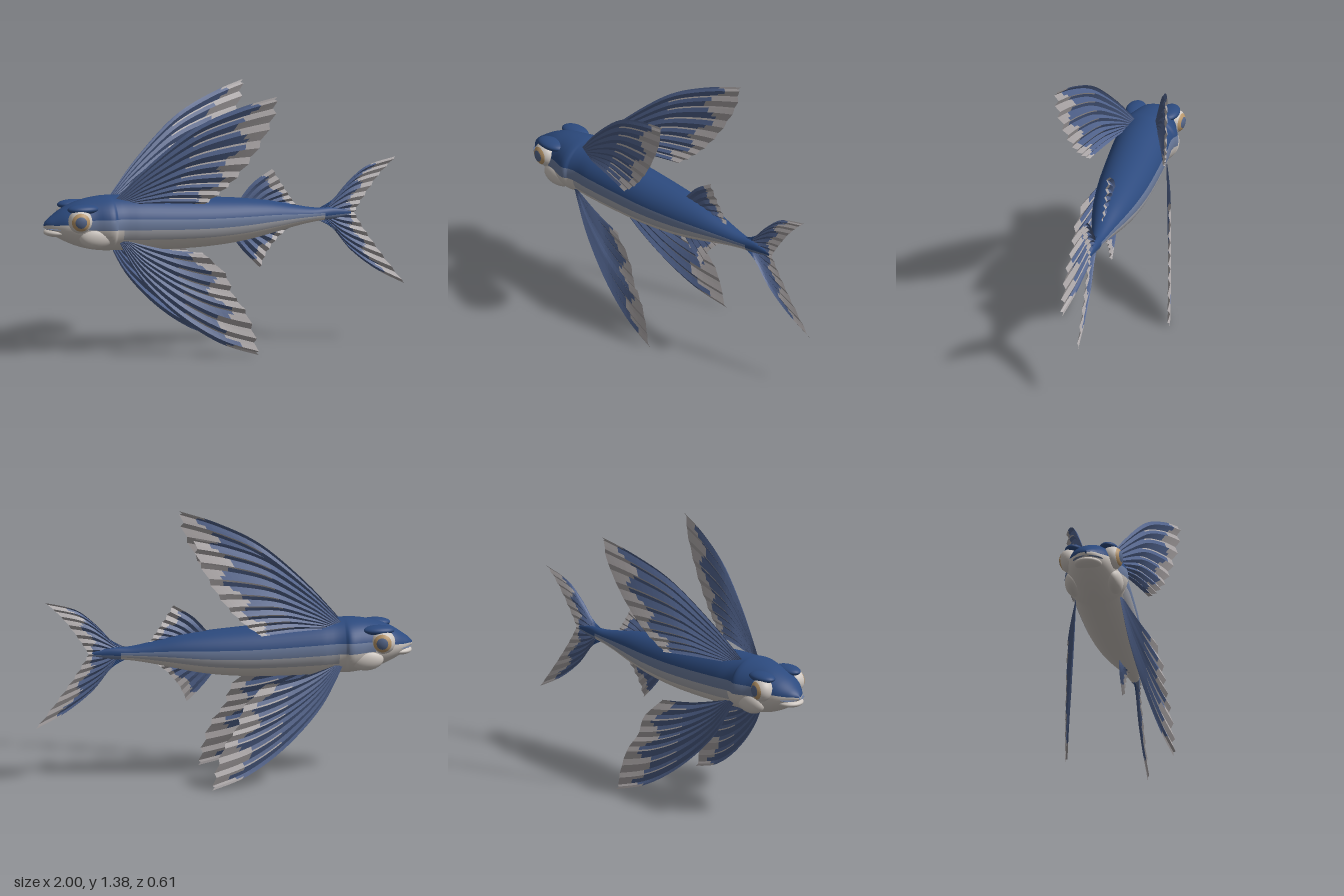
import * as THREE from 'three';

const paint = (name, color) => {
  const m = new THREE.MeshStandardMaterial({ color, side: THREE.DoubleSide });
  m.name = name;
  return m;
};
const navy = paint('navy back', 0x2c4a7e);
const slate = paint('slate flank', 0x6a7a9b);
const silver = paint('silver flank', 0xa6a7ae);
const cream = paint('cream belly', 0xcdc6c0);
const finBlue = paint('fin blue', 0x4f618a);
const finPale = paint('fin margin', 0xaaa5a6);
const tan = paint('iris tan', 0xb8966a);
const pupilBlue = paint('pupil', 0x56678a);

// Grid of quads; pick(i, j) gives the material index of each quad.
function gridGeometry(ni, nj, wrap, point, pick, materialCount) {
  const cols = wrap ? nj : nj + 1, pos = [];
  for (let i = 0; i <= ni; i++) for (let j = 0; j < cols; j++) pos.push(...point(i, j));
  const lists = Array.from({ length: materialCount }, () => []);
  for (let i = 0; i < ni; i++) for (let j = 0; j < nj; j++) {
    const k = (j + 1) % cols;
    const a = i * cols + j, b = a + cols, c = (i + 1) * cols + k, d = i * cols + k;
    lists[pick(i, j)].push(a, b, c, a, c, d);
  }
  const g = new THREE.BufferGeometry();
  g.setAttribute('position', new THREE.Float32BufferAttribute(pos, 3));
  g.setIndex(lists.flat());
  let start = 0;
  lists.forEach((l, m) => { g.addGroup(start, l.length, m); start += l.length; });
  return g;
}

function named(name, geometry, material) {
  const m = new THREE.Mesh(geometry, material);
  m.name = name;
  return m;
}

// Body sections: x, top, bottom, half width
const SECTIONS = [
  [-1, 0.712, 0.695, 0.004], [-0.985, 0.73, 0.685, 0.032], [-0.95, 0.757, 0.655, 0.067],
  [-0.9, 0.79, 0.625, 0.103], [-0.83, 0.822, 0.593, 0.13], [-0.75, 0.842, 0.57, 0.142],
  [-0.68, 0.85, 0.56, 0.167], [-0.65, 0.851, 0.558, 0.168], [-0.63, 0.85, 0.558, 0.155],
  [-0.5, 0.845, 0.552, 0.153], [-0.3, 0.83, 0.548, 0.148], [-0.1, 0.815, 0.552, 0.138],
  [0.1, 0.798, 0.572, 0.117], [0.25, 0.778, 0.602, 0.092], [0.4, 0.745, 0.636, 0.058],
  [0.5, 0.727, 0.653, 0.037], [0.6, 0.722, 0.662, 0.02], [0.7, 0.7, 0.68, 0.003],
];

function buildBody() {
  const spline = new THREE.CubicInterpolant(
    SECTIONS.map(s => s[0]), SECTIONS.flatMap(s => s.slice(1)), 3, new Float32Array(3));
  // Four rings between neighbouring sections
  const xs = [];
  SECTIONS.forEach((s, i) => {
    const next = SECTIONS[i + 1];
    if (!next) xs.push(s[0]);
    else for (let k = 0; k < 4; k++) xs.push(s[0] + (next[0] - s[0]) * k / 4);
  });
  const around = 48;
  const point = (i, j) => {
    const [top, bottom, w] = spline.evaluate(xs[i]);
    const a = j / around * Math.PI * 2;
    return [xs[i], (top + bottom) / 2 + (top - bottom) / 2 * Math.sin(a), Math.max(w, 0.002) * Math.cos(a)];
  };
  // Colour bands run lengthwise from back to belly
  const pick = (i, j) => {
    const rise = Math.asin(Math.sin((j + 0.5) / around * Math.PI * 2)) * 180 / Math.PI;
    const x = xs[i];
    if (x > 0.53) return rise > -15 ? 0 : 1;
    if (x < -0.79) return rise > 7.5 ? 0 : 3;
    if (rise > 15) return 0;
    if (rise > -7.5) return 1;
    return rise > -30 && x > -0.63 ? 2 : 3;
  };
  const g = gridGeometry(xs.length - 1, around, true, point, pick, 4);
  g.computeVertexNormals();
  return named('body', g, [navy, slate, silver, cream]);
}

// Pleated fin spanned by rays between a leading and a rear curve, ending on an edge curve.
function buildFin(name, { lead, rear, edge, depth, rays, margin, base = 0, pleat, streak = 2 }) {
  const curve = pts => new THREE.SplineCurve(pts.map(p => new THREE.Vector2(...p)));
  const A = curve(lead), B = curve(rear), E = curve(edge);
  const bump = (c, t) => c.getPoint(t).sub(c.getPoint(0).lerp(c.getPoint(1), t));
  const steps = 24, split = [0, 0.14, 0.5, 0.8];
  const point = (i, j) => {
    const f = split[j % 4], s = Math.min((Math.floor(j / 4) + f) / rays, 1), t = i / steps;
    const scallop = 1 - 0.025 * Math.abs(2 * f - 1) * (s > 0 && s < 1 ? 1 : 0);
    const root = A.getPoint(0).lerp(B.getPoint(0), s);
    const p = root.clone().lerp(E.getPoint(s), t * scallop)
      .addScaledVector(bump(A, t), 1 - s).addScaledVector(bump(B, t), s);
    const fold = pleat * Math.min(1, t * 2) * (1 - 2 * Math.abs(2 * f - 1));
    return [p.x, p.y, depth(p.x) + fold];
  };
  const pick = (i, j) => {
    const t = (i + 0.5) / steps, ray = Math.floor(j / 4);
    if (t < base) return 2;
    if (j % 4 === 0 && ray > 0 && t > streak) return 1;
    return t > margin + 0.06 * Math.sin(ray * 2.3 + (j % 4)) ? 1 : 0;
  };
  const g = gridGeometry(steps, rays * 4, false, point, pick, 3).toNonIndexed();
  g.computeVertexNormals();
  return named(name, g, [finBlue, finPale, navy]);
}

// Eye: concentric bands of a flattened ball, with a heavy brow above
function buildEye(side) {
  const eye = new THREE.Group();
  eye.name = side > 0 ? 'leftEye' : 'rightEye';
  const bands = [['pupil', 0, 0.5, pupilBlue], ['iris', 0.5, 0.85, tan], ['eyeball', 0.85, 2.2, cream]];
  for (const [name, from, to, mat] of bands)
    eye.add(named(name, new THREE.SphereGeometry(0.064, 28, 10, 0, Math.PI * 2, from, to - from), mat));
  eye.position.set(-0.832, 0.737, side * 0.112);
  eye.rotation.set(side * Math.PI / 2, 0, side * 0.2);
  eye.scale.set(1, 0.9, 1);
  return eye;
}

function ellipsoid(name, mat, position, size) {
  const m = named(name, new THREE.SphereGeometry(1, 28, 16), mat);
  m.position.set(...position);
  m.scale.set(...size);
  return m;
}

export function createModel() {
  const fish = new THREE.Group();
  fish.name = 'flyingFish';
  fish.add(buildBody());

  // Mouth
  fish.add(ellipsoid('lowerJaw', cream, [-0.925, 0.668, 0], [0.073, 0.025, 0.074]));
  fish.add(ellipsoid('mouthLine', slate, [-0.93, 0.69, 0], [0.062, 0.005, 0.081]));

  for (const side of [1, -1]) {
    const label = side > 0 ? 'left' : 'right';
    fish.add(buildEye(side));
    fish.add(ellipsoid(label + 'Brow', navy, [-0.81, 0.797, side * 0.092], [0.085, 0.026, 0.052]));
    fish.add(ellipsoid(label + 'Cheek', cream, [-0.74, 0.645, side * 0.108], [0.095, 0.06, 0.046]));

    // Upper wing-like fin
    fish.add(buildFin(label + 'PectoralFin', {
      lead: [[-0.62, 0.835], [-0.45, 1.02], [-0.22, 1.215], [0, 1.32], [0.2, 1.38]],
      rear: [[-0.56, 0.81], [-0.36, 0.815], [-0.17, 0.81]],
      edge: [[0.2, 1.38], [0.185, 1.27], [0.1, 1.1], [0, 0.96], [-0.09, 0.87], [-0.17, 0.81]],
      depth: x => side * (0.055 + 0.298 * (x + 0.62) + 0.09 * (x + 0.62) * (0.2 - x)),
      rays: 9, margin: 0.82, pleat: 0.007, streak: 0.5,
    }));
    // Lower wing-like fin
    fish.add(buildFin(label + 'PelvicFin', {
      lead: [[-0.62, 0.62], [-0.5, 0.405], [-0.31, 0.21], [-0.1, 0.07], [0.1, 0.003]],
      rear: [[-0.57, 0.62], [-0.38, 0.575], [-0.19, 0.555]],
      edge: [[0.1, 0.003], [0.085, 0.1], [0.04, 0.23], [-0.03, 0.33], [-0.07, 0.44], [-0.19, 0.555]],
      depth: x => side * (0.115 + 0.243 * (x + 0.62) + 0.08 * (x + 0.62) * (0.1 - x)),
      rays: 8, margin: 0.8, pleat: 0.007, streak: 0.55,
    }));
  }

  // Fins on the centre line
  const flat = () => 0;
  fish.add(buildFin('dorsalFin', {
    lead: [[0.08, 0.785], [0.16, 0.875], [0.27, 0.945]],
    rear: [[0.3, 0.75], [0.4, 0.742]],
    edge: [[0.27, 0.945], [0.315, 0.87], [0.36, 0.8], [0.4, 0.742]],
    depth: flat, rays: 6, margin: 0.72, pleat: 0.007,
  }));
  fish.add(buildFin('analFin', {
    lead: [[0.05, 0.585], [0.11, 0.51], [0.2, 0.42]],
    rear: [[0.28, 0.63], [0.37, 0.635]],
    edge: [[0.2, 0.42], [0.235, 0.5], [0.3, 0.58], [0.37, 0.635]],
    depth: flat, rays: 6, margin: 0.72, pleat: 0.007,
  }));
  const tail = { depth: flat, rays: 7, margin: 0.78, base: 0.27, pleat: 0.005 };
  const middle = [[0.52, 0.69], [0.62, 0.69], [0.72, 0.69]];
  fish.add(buildFin('upperTailLobe', {
    ...tail, rear: middle,
    lead: [[0.52, 0.722], [0.6, 0.765], [0.68, 0.85], [0.79, 0.935], [0.95, 0.977]],
    edge: [[0.95, 0.977], [0.86, 0.89], [0.77, 0.77], [0.72, 0.69]],
  }));
  fish.add(buildFin('lowerTailLobe', {
    ...tail, rear: middle,
    lead: [[0.52, 0.658], [0.6, 0.61], [0.7, 0.49], [0.84, 0.38], [1, 0.295]],
    edge: [[1, 0.295], [0.88, 0.45], [0.78, 0.59], [0.72, 0.69]],
  }));
  return fish;
}
